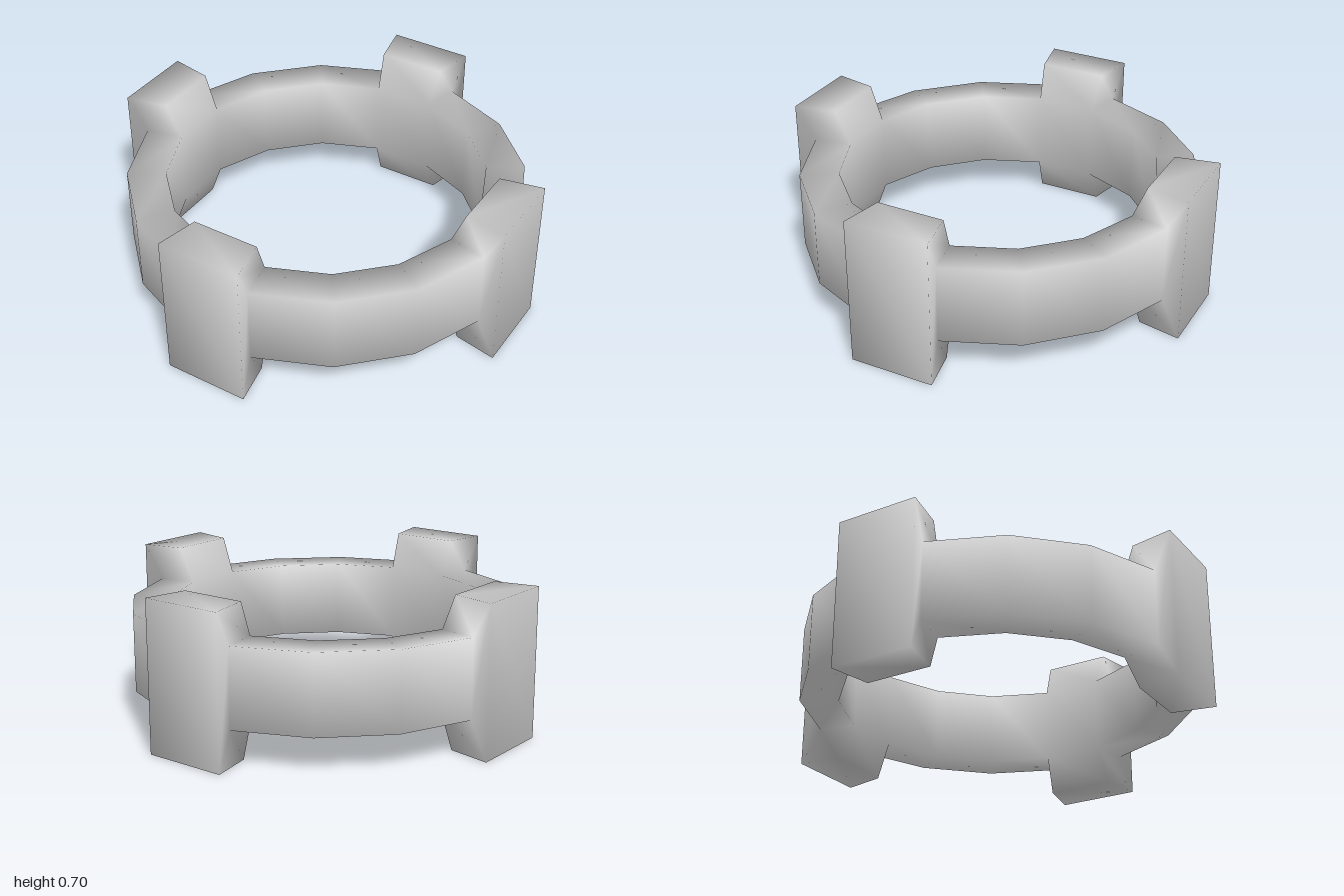
import * as THREE from 'three';
import { mergeVertices } from 'three/addons/utils/BufferGeometryUtils.js';

const SIDES = 16;
const STEP = (2 * Math.PI) / SIDES;

// Cross-sections as [distance from axis to flat, height], counter-clockwise
const BAND = [[0.73, 0.165], [0.908, 0.165], [0.908, 0.532], [0.73, 0.532]];
const LUG = [[0.73, 0.165], [0.8, 0], [1, 0], [1, 0.697], [0.8, 0.697], [0.73, 0.532]];

// Lug side faces, framing the opening where the band joins
const LUG_SIDES = [
  [LUG[0], LUG[1], LUG[2], BAND[1]],
  [BAND[1], LUG[2], LUG[3], BAND[2]],
  [BAND[2], LUG[3], LUG[4], LUG[5]],
];

function corner([u, y], k) {
  const angle = ((k + SIDES) % SIDES + 0.5) * STEP;
  const r = u / Math.cos(STEP / 2);
  return [r * Math.cos(angle), y, r * Math.sin(angle)];
}

function addQuad(out, a, b, c, d) {
  out.push(...a, ...b, ...c, ...a, ...c, ...d);
}

// Sweep a closed section across one flat of the ring
function addSegment(out, section, k) {
  section.forEach((p, i) => {
    const q = section[(i + 1) % section.length];
    addQuad(out, corner(p, k - 1), corner(q, k - 1), corner(q, k), corner(p, k));
  });
}

export function createModel() {
  const band = [];
  const lugs = [];
  for (let k = 0; k < SIDES; k++) {
    if (k % 4 !== 0) {
      addSegment(band, BAND, k);
      continue;
    }
    addSegment(lugs, LUG, k);
    for (const face of LUG_SIDES) {
      addQuad(lugs, ...face.map((p) => corner(p, k)));
      addQuad(lugs, ...[...face].reverse().map((p) => corner(p, k - 1)));
    }
  }

  // Weld band and lugs so the shading flows smoothly across the joins
  let surface = new THREE.BufferGeometry();
  surface.setAttribute('position', new THREE.Float32BufferAttribute([...band, ...lugs], 3));
  surface = mergeVertices(surface, 1e-4);
  surface.computeVertexNormals();

  const material = new THREE.MeshStandardMaterial({ color: 0xcccccc });
  const group = new THREE.Group();
  group.name = 'luggedRing';
  const index = Array.from(surface.index.array);
  const split = band.length / 3;

  // Both parts share the welded vertices
  const addPart = (name, faces) => {
    const geometry = new THREE.BufferGeometry();
    geometry.setAttribute('position', surface.attributes.position);
    geometry.setAttribute('normal', surface.attributes.normal);
    geometry.setIndex(faces);
    const mesh = new THREE.Mesh(geometry, material);
    mesh.name = name;
    group.add(mesh);
  };
  addPart('ringBand', index.slice(0, split));
  addPart('lugs', index.slice(split));
  return group;
}
